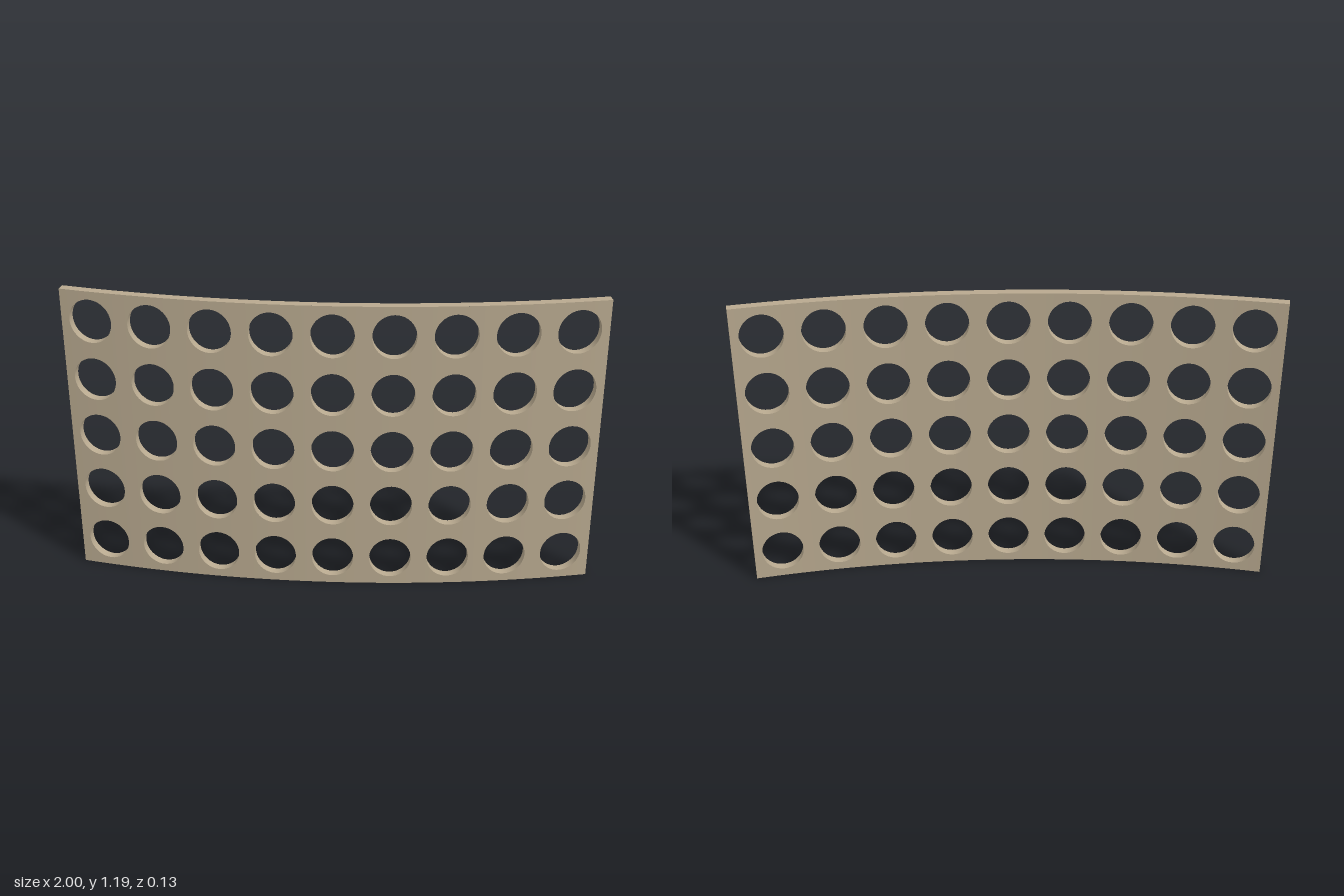
import * as THREE from 'three';
import { mergeGeometries } from 'three/addons/utils/BufferGeometryUtils.js';
import { ParametricGeometry } from 'three/addons/geometries/ParametricGeometry.js';

const HEIGHT = 1.19, THICK = 0.031, RADIUS = 4.86, FRONT_Z = 0.068;
const COLS = 9, ROWS = 5, HOLE_W = 0.081, HOLE_H = 0.087, SIDES = 40;
const HALF_ARC = RADIUS * Math.asin(1 / RADIUS);
const CELL_W = HALF_ARC / COLS, CELL_H = HEIGHT / ROWS / 2; // half sizes

// Bend a flat panel point (arc length, height, depth behind the front) round the cylinder
function bend(s, y, depth, target) {
  const a = s / RADIUS, r = RADIUS - depth;
  return target.set(r * Math.sin(a), y, FRONT_Z - RADIUS + r * Math.cos(a));
}

// Square cell with an oval hole: u runs from hole rim to cell border, v runs round
function cellFace(cx, cy, depth, back) {
  return new ParametricGeometry((u, v, target) => {
    const a = (back ? 1 - v : v) * Math.PI * 2;
    const c = Math.cos(a), s = Math.sin(a), m = Math.max(Math.abs(c), Math.abs(s));
    const x = THREE.MathUtils.lerp(HOLE_W * c, CELL_W * c / m, u);
    const y = THREE.MathUtils.lerp(HOLE_H * s, CELL_H * s / m, u);
    bend(cx + x, cy + y, depth, target);
  }, 2, SIDES);
}

// Inside wall of one hole
function holeWall(cx, cy) {
  return new ParametricGeometry((u, v, target) => {
    const a = u * Math.PI * 2;
    bend(cx + HOLE_W * Math.cos(a), cy + HOLE_H * Math.sin(a), v * THICK, target);
  }, SIDES, 1);
}

// Outer edge strip between two flat panel corners
function edge(s0, y0, s1, y1, steps) {
  return new ParametricGeometry((u, v, target) => {
    bend(s0 + (s1 - s0) * u, y0 + (y1 - y0) * u, v * THICK, target);
  }, steps, 1);
}

export function createModel() {
  const group = new THREE.Group();
  group.name = 'curvedPerforatedPanel';
  const tan = new THREE.MeshStandardMaterial({ color: 0xb8a98f });
  tan.name = 'tan';

  const front = [], back = [], walls = [];
  for (let i = 0; i < COLS; i++) {
    for (let j = 0; j < ROWS; j++) {
      const cx = -HALF_ARC + (2 * i + 1) * CELL_W, cy = (2 * j + 1) * CELL_H;
      front.push(cellFace(cx, cy, 0, false));
      back.push(cellFace(cx, cy, THICK, true));
      walls.push(holeWall(cx, cy));
    }
  }

  // Clockwise border: top, right end, bottom, left end
  const steps = COLS * 8;
  const edges = [
    edge(-HALF_ARC, HEIGHT, HALF_ARC, HEIGHT, steps),
    edge(HALF_ARC, HEIGHT, HALF_ARC, 0, 1),
    edge(HALF_ARC, 0, -HALF_ARC, 0, steps),
    edge(-HALF_ARC, 0, -HALF_ARC, HEIGHT, 1),
  ];

  const parts = { frontFace: front, backFace: back, holeWalls: walls, outerEdges: edges };
  for (const [name, list] of Object.entries(parts)) {
    const mesh = new THREE.Mesh(mergeGeometries(list), tan);
    mesh.name = name;
    group.add(mesh);
  }
  return group;
}
